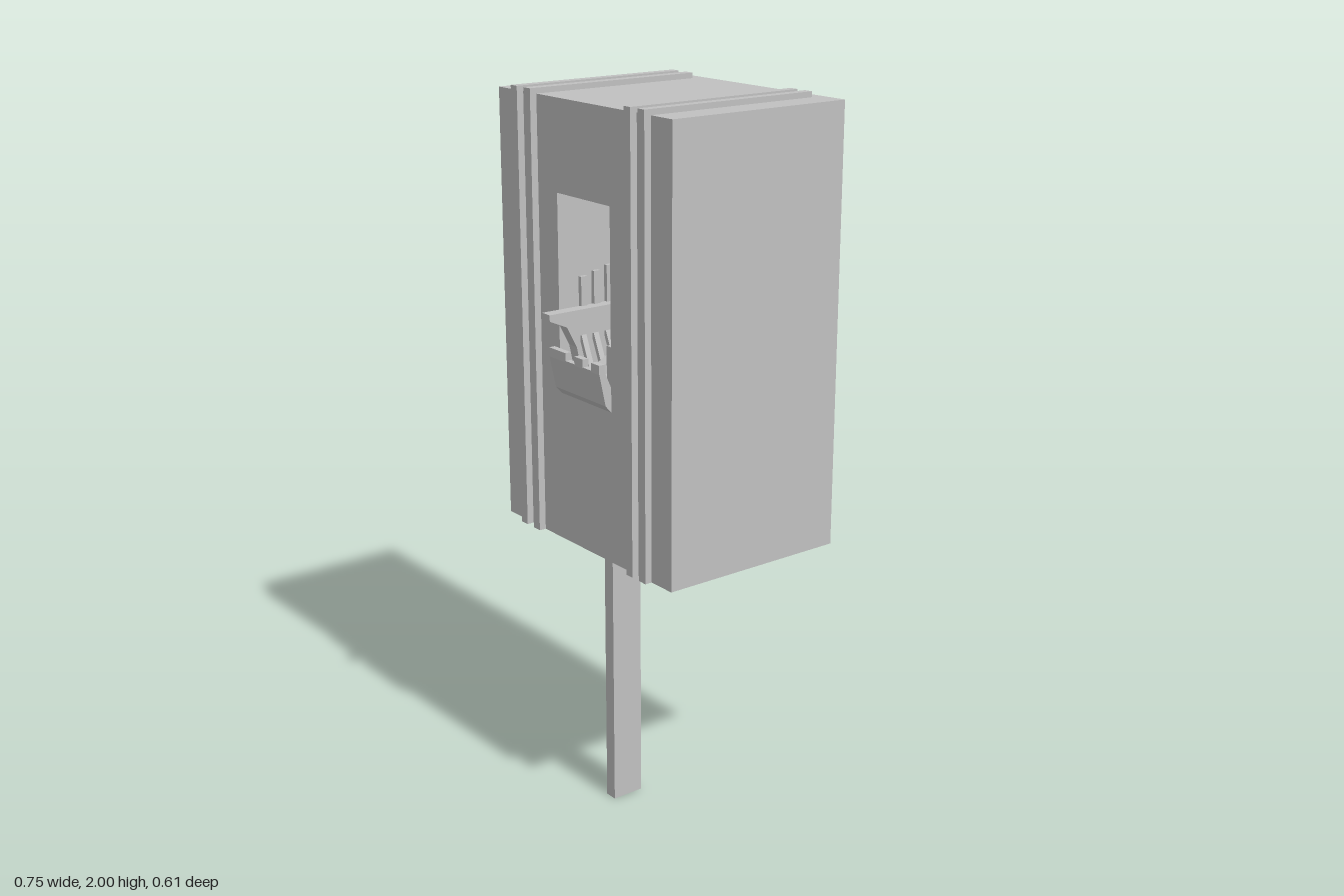
import * as THREE from 'three';

export function createModel() {
  const model = new THREE.Group();
  const grey = new THREE.MeshStandardMaterial({ color: 0xc0c0c0 });
  grey.name = 'grey';
  grey.flatShading = true;

  const add = (name, geometry, parent = model) => {
    const mesh = new THREE.Mesh(geometry, grey);
    mesh.name = name;
    parent.add(mesh);
    return mesh;
  };
  // Box given by its limits on each axis
  const box = (name, x0, x1, y0, y1, z0, z1, parent) =>
    add(name, new THREE.BoxGeometry(x1 - x0, y1 - y0, z1 - z0)
      .translate((x0 + x1) / 2, (y0 + y1) / 2, (z0 + z1) / 2), parent);
  const outline = (points) => new THREE.Shape(points.map(([a, b]) => new THREE.Vector2(a, b)));
  const extrude = (shape, depth) =>
    new THREE.ExtrudeGeometry(shape, { depth, bevelEnabled: false, curveSegments: 8 });
  // Side profile in (z, y), extruded across x
  const across = (name, shape, x0, x1, parent) =>
    add(name, extrude(shape, x1 - x0).rotateY(-Math.PI / 2).translate(x1, 0, 0), parent);

  // Cabinet: solid rear and a front half with the opening cut through it
  const backWall = -0.01, front = 0.247;
  const L = -0.11, R = 0.12;
  box('cabinetRear', -0.373, 0.373, 0.78, 1.985, -0.307, backWall);
  const face = outline([[-0.373, 0.78], [0.373, 0.78], [0.373, 1.985], [-0.373, 1.985]]);
  face.holes.push(outline([[L, 1.2], [L, 1.74], [R, 1.74], [R, 1.2]]));
  add('cabinetFront', extrude(face, front - backWall).translate(0, 0, backWall));

  // Support post
  box('post', -0.013, 0.024, 0, 0.78, 0.082, 0.177);

  // Ribs wrapping over the top and down the front
  for (const [x0, x1] of [[-0.285, -0.257], [-0.225, -0.196], [0.208, 0.234], [0.263, 0.29]]) {
    across('rib', outline([[-0.27, 1.98], [0.24, 1.98], [0.24, 0.78], [0.267, 0.78],
      [0.267, 2], [-0.27, 2]]), x0, x1);
  }

  // Coved hood at the back of the opening
  const hood = new THREE.Shape();
  hood.moveTo(backWall, 1.74);
  hood.lineTo(backWall, 1.53);
  hood.quadraticCurveTo(0, 1.645, 0.057, 1.645);
  hood.lineTo(0.057, 1.74);
  across('hood', hood, -0.07, 0.085);

  // Fins on the left wall of the opening
  for (let i = 0; i < 3; i++) {
    const z = 0.175 - i * 0.042;
    box('wallFin', L, L + 0.012, 1.3, 1.51 + i * 0.01, z - 0.012, z + 0.008);
  }

  // Tray
  const tray = new THREE.Group();
  tray.name = 'tray';
  model.add(tray);
  box('trayFloor', L, R, 1.2, 1.235, backWall, front, tray);

  // Sloped front panel with two notches in its lip
  const panel = (top, x0, x1) => across('trayFront', outline([[0.235, 1.2], [0.247, 1.2],
    [0.265, 1.22], [0.285, top], [0.267, top], [0.235, 1.24]]), x0, x1, tray);
  panel(1.312, -0.105, R);
  for (const [x0, x1] of [[-0.105, -0.03], [0.01, 0.048], [0.085, R]]) {
    box('lipTooth', x0, x1, 1.308, 1.333, 0.267, 0.285, tray);
  }

  // Left rail with a projecting tip, and the lower right rail
  across('leftRail', outline([[0.03, 1.235], [0.2, 1.235], [0.22, 1.33], [0.25, 1.388],
    [0.305, 1.413], [0.305, 1.43], [0.03, 1.43]]), -0.105, -0.07, tray);
  box('rightRail', 0.085, R, 1.235, 1.37, 0.03, 0.235, tray);

  // Back panel with a sloping top edge
  add('trayBack', extrude(outline([[L, 1.235], [R, 1.235], [R, 1.37], [0.085, 1.37],
    [-0.035, 1.43], [L, 1.43]]), 0.025).translate(0, 0, 0.02), tray);

  // Slanted slats along the left rail and a loose bar across the tray
  for (let i = 0; i < 4; i++) {
    const slat = box('slat', -0.006, 0.006, -0.065, 0.065, -0.008, 0.008, tray);
    slat.position.set(-0.045, 1.3, 0.08 + i * 0.04);
    slat.rotation.z = 0.4;
  }
  const bar = box('looseBar', -0.015, 0.015, -0.012, 0.012, -0.09, 0.09, tray);
  bar.position.set(0.02, 1.32, 0.15);
  bar.rotation.set(0.35, 0.25, 0);
  return model;
}
